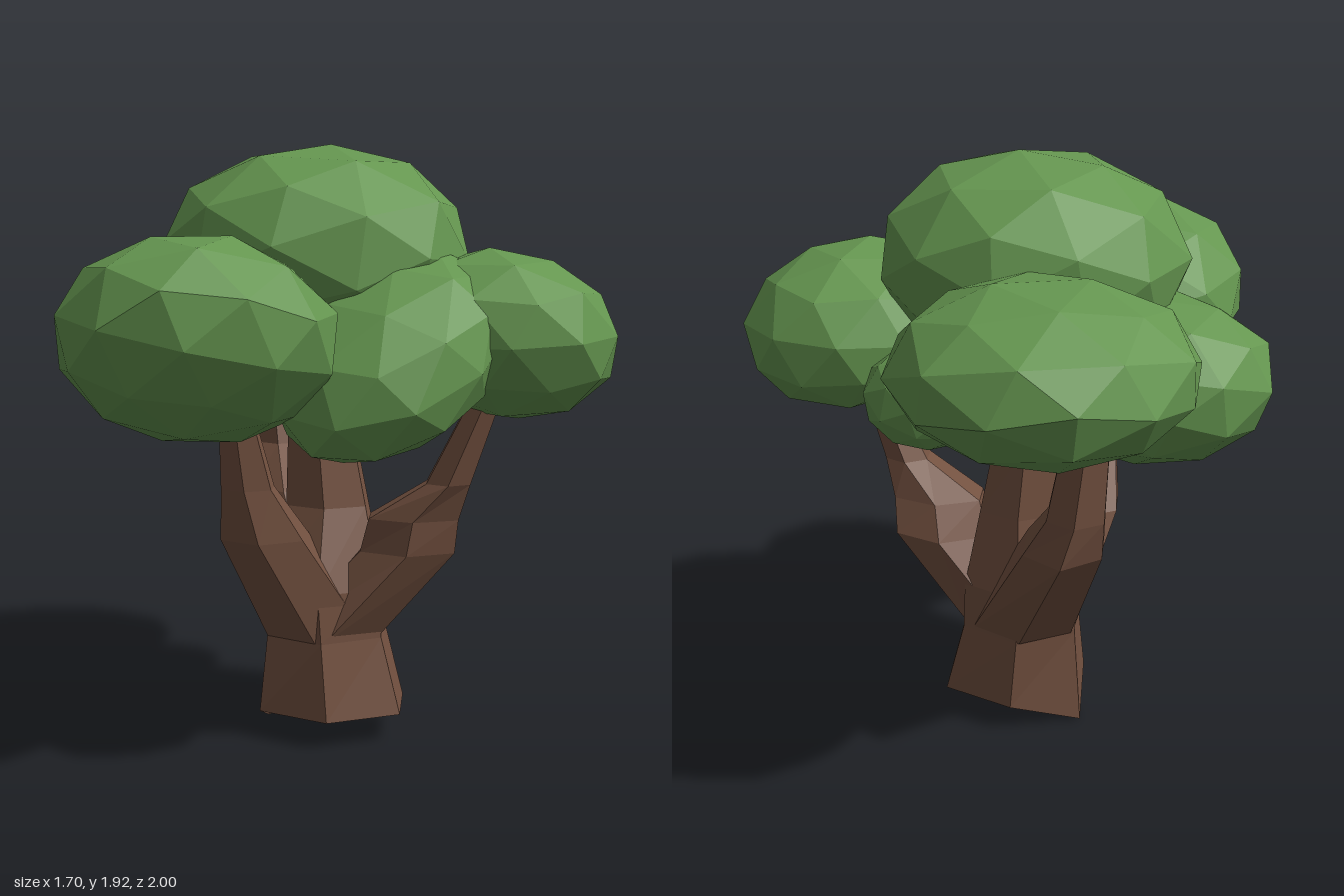
import * as THREE from 'three';
import { mergeVertices } from 'three/addons/utils/BufferGeometryUtils.js';

const bark = new THREE.MeshStandardMaterial({ name: 'bark brown', color: 0x735140, flatShading: true, side: THREE.DoubleSide });
const leaf = new THREE.MeshStandardMaterial({ name: 'leaf green', color: 0x659650, flatShading: true });

// Skin a stack of horizontal rings [x, y, z, rx, rz], open below and capped on top.
function loft(rings, sides) {
  const pos = [], idx = [];
  rings.forEach(([x, y, z, rx, rz]) => {
    for (let i = 0; i < sides; i++) {
      const a = Math.PI / 6 + (i / sides) * Math.PI * 2;
      pos.push(x + Math.cos(a) * rx, y, z + Math.sin(a) * rz);
    }
  });
  for (let r = 0; r < rings.length - 1; r++) {
    for (let i = 0; i < sides; i++) {
      const a = r * sides + i, b = r * sides + (i + 1) % sides;
      idx.push(a, a + sides, b, b, a + sides, b + sides);
    }
  }
  const top = (rings.length - 1) * sides;
  for (let i = 1; i < sides - 1; i++) idx.push(top, top + i + 1, top + i);
  const geo = new THREE.BufferGeometry();
  geo.setAttribute('position', new THREE.Float32BufferAttribute(pos, 3));
  geo.setIndex(idx);
  return geo;
}

// Faceted leaf clump that fills the box min..max; lean slides its top along x and z.
function clump(min, max, [leanX, leanZ], seed) {
  let geo = new THREE.IcosahedronGeometry(1, 1);
  geo.deleteAttribute('normal');
  geo.deleteAttribute('uv');
  geo = mergeVertices(geo, 1e-4);
  geo.rotateX(seed * 1.3).rotateY(seed * 2.1).rotateZ(seed * 0.7);
  const p = geo.attributes.position;
  for (let i = 0; i < p.count; i++) {
    const k = 1 + 0.012 * Math.sin(i * 12.9 + seed * 7.3);
    const y = p.getY(i);
    p.setXYZ(i, (p.getX(i) + leanX * y) * k, y * k, (p.getZ(i) + leanZ * y) * k);
  }
  geo.computeBoundingBox();
  const size = geo.boundingBox.getSize(new THREE.Vector3());
  const mid = geo.boundingBox.getCenter(new THREE.Vector3());
  geo.translate(-mid.x, -mid.y, -mid.z);
  geo.scale(...min.map((m, i) => (max[i] - m) / size.getComponent(i)));
  geo.translate(...min.map((m, i) => (m + max[i]) / 2));
  return geo;
}

export function createModel() {
  const tree = new THREE.Group();
  tree.name = 'tree';
  const add = (parent, name, geo, mat) => {
    geo.computeVertexNormals();
    const mesh = new THREE.Mesh(geo, mat);
    mesh.name = name;
    parent.add(mesh);
  };

  // Trunk, running on into the middle branch, with one root corner on the ground
  const wood = new THREE.Group();
  wood.name = 'wood';
  tree.add(wood);
  const trunk = loft([
    [-0.04, 0.09, 0.02, 0.265, 0.22],
    [-0.06, 0.34, 0.0, 0.215, 0.21],
    [-0.07, 0.5, 0.0, 0.22, 0.21],
    [-0.06, 0.76, -0.03, 0.15, 0.13],
    [-0.08, 1.0, -0.03, 0.12, 0.11],
    [-0.09, 1.24, -0.03, 0.08, 0.09],
  ], 6);
  trunk.attributes.position.setXYZ(3, -0.27, 0, -0.1);
  add(wood, 'trunk', trunk, bark);

  // Three branches fan out of the trunk, bend at an elbow and rise into the leaves
  const branches = {
    rightBranch: [[-0.05, 0.34, 0.01, 0.19, 0.18], [0.21, 0.63, 0.06, 0.175, 0.14],
      [0.23, 0.74, 0.09, 0.165, 0.11], [0.34, 0.86, 0.13, 0.08, 0.08], [0.47, 1.17, 0.17, 0.05, 0.05]],
    backBranch: [[-0.07, 0.34, -0.02, 0.19, 0.19], [-0.22, 0.77, -0.33, 0.14, 0.19],
      [-0.26, 0.91, -0.42, 0.1, 0.11], [-0.3, 1.26, -0.46, 0.07, 0.07]],
    frontBranch: [[-0.08, 0.34, 0.02, 0.19, 0.18], [-0.24, 0.69, 0.19, 0.15, 0.15],
      [-0.28, 0.86, 0.28, 0.09, 0.08], [-0.31, 1.16, 0.36, 0.05, 0.045]],
  };
  for (const [name, rings] of Object.entries(branches)) add(wood, name, loft(rings, 6), bark);

  // Leaf clumps: lowest corner, highest corner, lean
  const crown = new THREE.Group();
  crown.name = 'crown';
  tree.add(crown);
  const clumps = {
    topLeaves: [[-0.58, 1.24, -0.41], [0.4, 1.92, 0.51], [0, 0]],
    backLeaves: [[-0.61, 1.18, -1.0], [0.27, 1.67, -0.16], [0, 0]],
    leftSideLeaves: [[-0.85, 0.97, -0.4], [-0.1, 1.5, 0.28], [0, 0]],
    frontLeaves: [[-0.77, 1.04, 0.23], [0.03, 1.64, 1.0], [0, 0.22]],
    frontSideLeaves: [[-0.2, 0.97, -0.02], [0.52, 1.6, 0.7], [0.3, -0.45]],
    rightSideLeaves: [[0.17, 1.06, -0.22], [0.85, 1.6, 0.49], [-0.1, 0.1]],
    smallLeaves: [[0.0, 1.09, -0.53], [0.39, 1.41, -0.16], [0, 0]],
  };
  Object.entries(clumps).forEach(([name, [min, max, lean]], i) => {
    add(crown, name, clump(min, max, lean, i + 1), leaf);
  });

  return tree;
}
